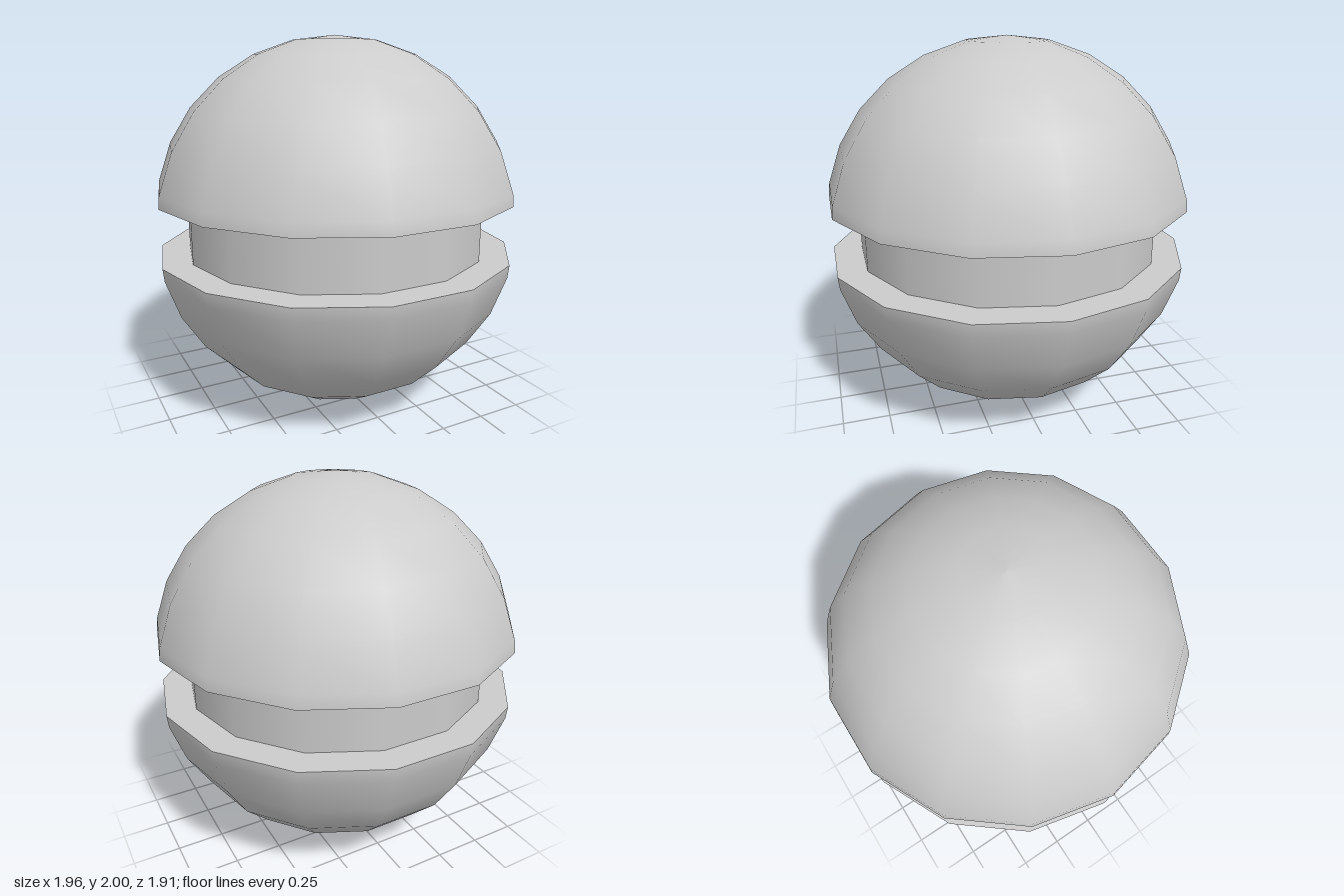
import * as THREE from 'three';

const SIDES = 14;
const BAND_RADIUS = 0.825;
const GAP_LOW = 0.847;
const GAP_HIGH = 1.157;

// Revolve a profile of [radius, y] pairs, with a corner on the x axis
function revolve(name, profile) {
  const points = profile.map(([r, y]) => new THREE.Vector2(r, y));
  const geometry = new THREE.LatheGeometry(points, SIDES, Math.PI / 2);
  const mesh = new THREE.Mesh(geometry, new THREE.MeshStandardMaterial({ color: 0xcccccc }));
  mesh.name = name;
  return mesh;
}

// Small downward nick at one inner corner of the upper lip
function nickCorner(mesh) {
  const position = mesh.geometry.attributes.position;
  const angle = (5 * 2 * Math.PI) / SIDES;
  const x = BAND_RADIUS * Math.cos(angle);
  const z = BAND_RADIUS * Math.sin(angle);
  for (let i = 0; i < position.count; i++) {
    const near = Math.hypot(position.getX(i) - x, position.getZ(i) - z) < 0.01;
    if (near && position.getY(i) > 1) position.setY(i, GAP_HIGH - 0.018);
  }
}

export function createModel() {
  const model = new THREE.Group();
  model.name = 'splitSphere';

  // Sphere rings from the cut edge up to the pole
  const rimRadius = 0.982;
  const arc = [];
  for (let k = 6; k >= 0; k--) {
    const a = (k * Math.PI) / SIDES;
    arc.push([Math.sin(a), Math.cos(a)]);
  }
  const upper = [[rimRadius, GAP_HIGH], ...arc.map(([r, h]) => [r, 1 + h])];
  const lower = [...arc.map(([r, h]) => [r, 1 - h]).reverse(), [rimRadius, GAP_LOW]];

  // Two domes
  model.add(revolve('upperDome', upper), revolve('lowerDome', lower));

  // Flat lips facing into the groove
  const upperLip = revolve('upperLip', [[BAND_RADIUS, GAP_HIGH], [rimRadius, GAP_HIGH]]);
  const lowerLip = revolve('lowerLip', [[rimRadius, GAP_LOW], [BAND_RADIUS, GAP_LOW]]);

  // Recessed band between the domes
  const band = revolve('middleBand', [[BAND_RADIUS, GAP_LOW], [BAND_RADIUS, GAP_HIGH]]);
  nickCorner(upperLip);
  nickCorner(band);

  model.add(upperLip, lowerLip, band);
  return model;
}
